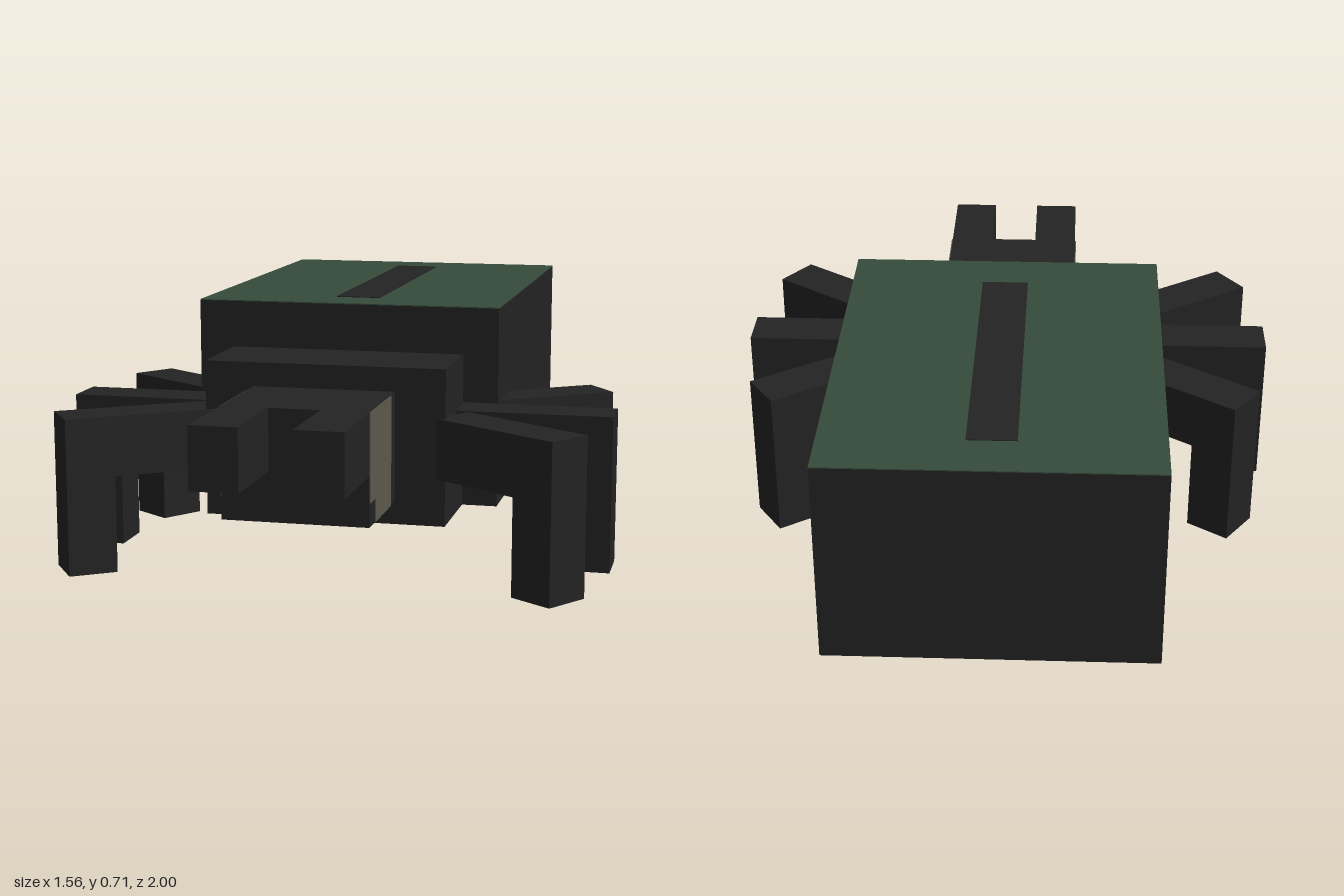
import * as THREE from 'three';

const material = (name, color) => {
  const m = new THREE.MeshStandardMaterial({ color });
  m.name = name;
  return m;
};

export function createModel() {
  const shell = material('charcoal shell', 0x232323);
  const green = material('dark green back', 0x364b3c);
  const eye = material('dull beige eye', 0x5c5a4c);
  const model = new THREE.Group();
  model.name = 'blockyInsect';

  // Box given by its lower and upper corners
  function box(name, mat, [x0, y0, z0], [x1, y1, z1], parent = model) {
    const mesh = new THREE.Mesh(new THREE.BoxGeometry(x1 - x0, y1 - y0, z1 - z0), mat);
    mesh.position.set((x0 + x1) / 2, (y0 + y1) / 2, (z0 + z1) / 2);
    mesh.name = name;
    parent.add(mesh);
    return mesh;
  }

  // Body blocks
  box('abdomen', shell, [-0.44, 0.14, -1], [0.44, 0.71, 0.15]);
  box('thorax', shell, [-0.34, 0.14, 0.15], [0.34, 0.577, 0.42]);
  box('head', shell, [-0.2, 0.205, 0.42], [0.2, 0.51, 0.73]);

  // Painted back with a narrow centre stripe
  box('backPlate', green, [-0.44, 0.71, -1], [0.44, 0.713, 0.15]);
  box('backStripe', shell, [-0.065, 0.713, -0.86], [0.065, 0.715, 0.01]);

  // Legs: a level upper block and a square foot block at its outer end
  const length = 0.437, width = 0.136;
  function leg(name, side, z, angle) {
    const group = new THREE.Group();
    group.name = name;
    group.position.set(side * 0.343, 0, z);
    group.rotation.y = -side * angle;
    const upper = box('upperLeg', shell, [0, 0.272, -width / 2], [length, 0.44, width / 2], group);
    const lower = box('lowerLeg', shell, [length - width, 0, -width / 2], [length, 0.272, width / 2], group);
    upper.position.x *= side;
    lower.position.x *= side;
    model.add(group);
  }

  for (const side of [1, -1]) {
    const label = side > 0 ? 'left' : 'right';
    // Mandible and side eye
    const mandible = box(label + 'Mandible', shell, [0.07, 0.342, 0.73], [0.2, 0.51, 1]);
    mandible.position.x *= side;
    const eyePlate = box(label + 'Eye', eye, [0.2, 0.27, 0.48], [0.203, 0.509, 0.729]);
    eyePlate.position.x *= side;
    // Lower strip of the eye reaches down at its rear
    const eyeLower = box(label + 'EyeLower', eye, [0.2, 0.206, 0.48], [0.203, 0.27, 0.665]);
    eyeLower.position.x *= side;

    leg(label + 'FrontLeg', side, 0.356, 0.61);
    leg(label + 'MiddleLeg', side, 0.2185, 0);
    leg(label + 'BackLeg', side, 0.081, -0.61);
  }
  return model;
}
